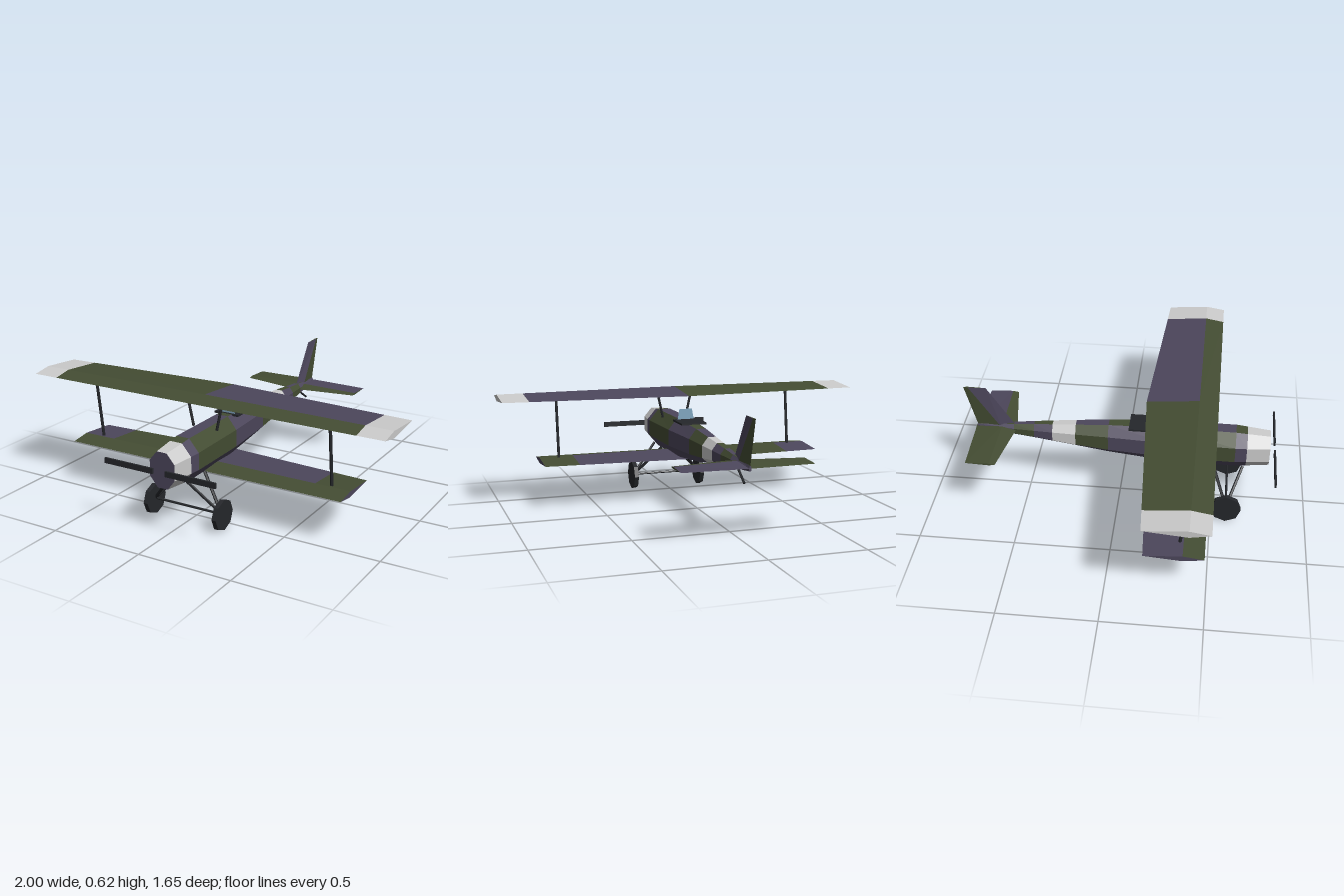
import * as THREE from 'three';

const mat = (color, side = THREE.FrontSide) =>
  new THREE.MeshStandardMaterial({ color, flatShading: true, side });
const M = {
  grey: mat(0xcccccc),
  green: mat(0x444d33),
  purple: mat(0x4d475c),
  dark: mat(0x25272b),
  glass: mat(0x7fa6bf, THREE.DoubleSide),
};
const V = (x, y, z) => new THREE.Vector3(x, y, z);

// Skins a row of rings with flat facets; paint(i, j) names the colour of facet j in bay i.
function loft(name, rings, paint) {
  const group = new THREE.Group();
  group.name = name;
  const buckets = {};
  const add = (color, poly) => {
    const list = (buckets[color] ??= []);
    for (let k = 1; k < poly.length - 1; k++) list.push(poly[0], poly[k], poly[k + 1]);
  };
  const n = rings[0].length, last = rings.length - 1;
  for (let i = 0; i < last; i++)
    for (let j = 0; j < n; j++) {
      const k = (j + 1) % n;
      add(paint(i, j), [rings[i][j], rings[i][k], rings[i + 1][k], rings[i + 1][j]]);
    }
  add(paint(0, -1), [...rings[0]].reverse());
  add(paint(last - 1, -2), rings[last]);
  for (const [color, pts] of Object.entries(buckets)) {
    const geo = new THREE.BufferGeometry().setFromPoints(pts);
    geo.computeVertexNormals();
    const mesh = new THREE.Mesh(geo, M[color]);
    mesh.name = `${name} ${color}`;
    group.add(mesh);
  }
  return group;
}

// Straight rod between two points
function rod(name, a, b, r = 0.008) {
  const mesh = new THREE.Mesh(new THREE.CylinderGeometry(r, r, a.distanceTo(b), 6), M.dark);
  mesh.name = name;
  mesh.position.copy(a).add(b).multiplyScalar(0.5);
  mesh.quaternion.setFromUnitVectors(V(0, 1, 0), b.clone().sub(a).normalize());
  return mesh;
}

function box(name, w, h, d, x, y, z) {
  const mesh = new THREE.Mesh(new THREE.BoxGeometry(w, h, d), M.dark);
  mesh.name = name;
  mesh.position.set(x, y, z);
  return mesh;
}

// Octagonal body; each station: z, half width, top, upper edge, lower edge, bottom
function fuselage() {
  const stations = [
    [0.79, 0.07, 0.438, 0.388, 0.306, 0.254],
    [0.67, 0.085, 0.45, 0.39, 0.305, 0.244],
    [0.61, 0.09, 0.456, 0.392, 0.304, 0.239],
    [0.25, 0.084, 0.458, 0.394, 0.304, 0.242],
    [-0.06, 0.066, 0.446, 0.394, 0.313, 0.273],
    [-0.235, 0.054, 0.432, 0.39, 0.325, 0.297],
    [-0.36, 0.045, 0.422, 0.387, 0.337, 0.313],
    [-0.46, 0.036, 0.413, 0.384, 0.345, 0.326],
    [-0.57, 0.026, 0.403, 0.381, 0.351, 0.338],
    [-0.77, 0.006, 0.386, 0.377, 0.365, 0.36],
  ];
  const rings = stations.map(([z, w, t, u, l, b]) => {
    const a = w * 0.4;
    return [[-a, t], [a, t], [w, u], [w, l], [a, b], [-a, b], [-w, l], [-w, u]]
      .map(([x, y]) => V(x, y, z));
  });
  return loft('fuselage', rings, (i, j) => {
    if (j === -1) return 'purple';
    if (i === 0 || i === 5) return 'grey';
    if (j >= 3 && j <= 5) return 'purple';
    const sideGreen = [2, 4, 7].includes(i);
    return sideGreen === (j === 0) ? 'purple' : 'green';
  });
}

// Diamond-section wing; xs are the rib positions, sec(|x|) gives trail, ridge, lead, y and thickness
function wing(name, xs, sec, paint) {
  const rings = xs.map((x) => {
    const { trail, ridge, lead, y, up, down } = sec(Math.abs(x));
    return [V(x, y, trail), V(x, y + up, ridge), V(x, y, lead), V(x, y - down, ridge)];
  });
  return loft(name, rings, paint);
}

export function createModel() {
  const model = new THREE.Group();
  model.add(fuselage());

  // Main wings
  model.add(wing('upper wing', [-1, -0.86, 0, 0.86, 1],
    (x) => ({ trail: 0.137 + 0.058 * x, ridge: 0.41, lead: 0.51, y: 0.593, up: 0.022 - 0.005 * x, down: 0.021 - 0.002 * x }),
    (i, j) => (i === 0 || i === 3 ? 'grey' : j >= 2 ? 'purple' : j === 0 && i === 2 ? 'purple' : 'green')));
  model.add(wing('lower wing', [-0.785, -0.6, 0, 0.6, 0.785],
    (x) => ({ trail: 0.145 + 0.055 * x, ridge: 0.38, lead: 0.485, y: 0.243, up: 0.018 - 0.004 * x, down: 0.018 - 0.003 * x }),
    (i, j) => (j >= 2 || j < 0 ? 'purple' : j === 1 ? 'green' : i % 2 ? 'green' : 'purple')));

  // Tail surfaces
  model.add(wing('tailplane', [-0.335, 0, 0.335],
    (x) => ({ trail: -0.775 + 0.03 * x, ridge: -0.635 - 0.02 * x, lead: -0.555 - 0.165 * x, y: 0.374, up: 0.012 - 0.02 * x, down: 0.01 - 0.015 * x }),
    (i, j) => (j >= 2 ? 'purple' : i === 1 && j === 0 ? 'purple' : 'green')));
  const finRing = (y, front, mid, rear, t) => [V(0, y, front), V(t, y, mid), V(0, y, rear), V(-t, y, mid)];
  model.add(loft('fin', [finRing(0.37, -0.55, -0.635, -0.765, 0.012), finRing(0.615, -0.71, -0.805, -0.83, 0.004)],
    (i, j) => (j === 0 || j === 3 ? 'purple' : 'green')));
  model.add(rod('tail skid', V(0, 0.35, -0.6), V(0, 0.288, -0.695), 0.006));

  // Cockpit and windscreen
  model.add(box('cockpit', 0.14, 0.01, 0.16, 0, 0.453, 0.13));
  const pane = new THREE.Shape([[-0.047, 0.455], [0.047, 0.455], [0.036, 0.515], [-0.036, 0.515]]
    .map(([x, y]) => new THREE.Vector2(x, y)));
  const screen = new THREE.Mesh(new THREE.ShapeGeometry(pane), M.glass);
  screen.name = 'windscreen';
  screen.position.z = 0.2;
  model.add(screen);

  // Paired parts: struts, undercarriage and propeller blades
  for (const s of [-1, 1]) {
    model.add(rod('wing strut', V(s * 0.68, 0.24, 0.36), V(s * 0.68, 0.59, 0.402)));
    model.add(rod('cabane strut', V(s * 0.068, 0.44, 0.41), V(s * 0.1, 0.585, 0.41), 0.007));
    for (const z of [0.655, 0.5])
      model.add(rod('gear strut', V(s * 0.05, 0.25, z), V(s * 0.195, 0.085, 0.58)));
    const wheel = new THREE.Mesh(new THREE.CylinderGeometry(0.08, 0.08, 0.024, 8), M.dark);
    wheel.name = 'wheel';
    wheel.rotation.z = Math.PI / 2;
    wheel.position.set(s * 0.2, 0.08, 0.58);
    model.add(wheel);
    model.add(box('propeller blade', 0.28, 0.028, 0.01, s * 0.175, 0.346, 0.817));
  }
  model.add(rod('axle', V(-0.2, 0.083, 0.58), V(0.2, 0.083, 0.58), 0.006));
  return model;
}
